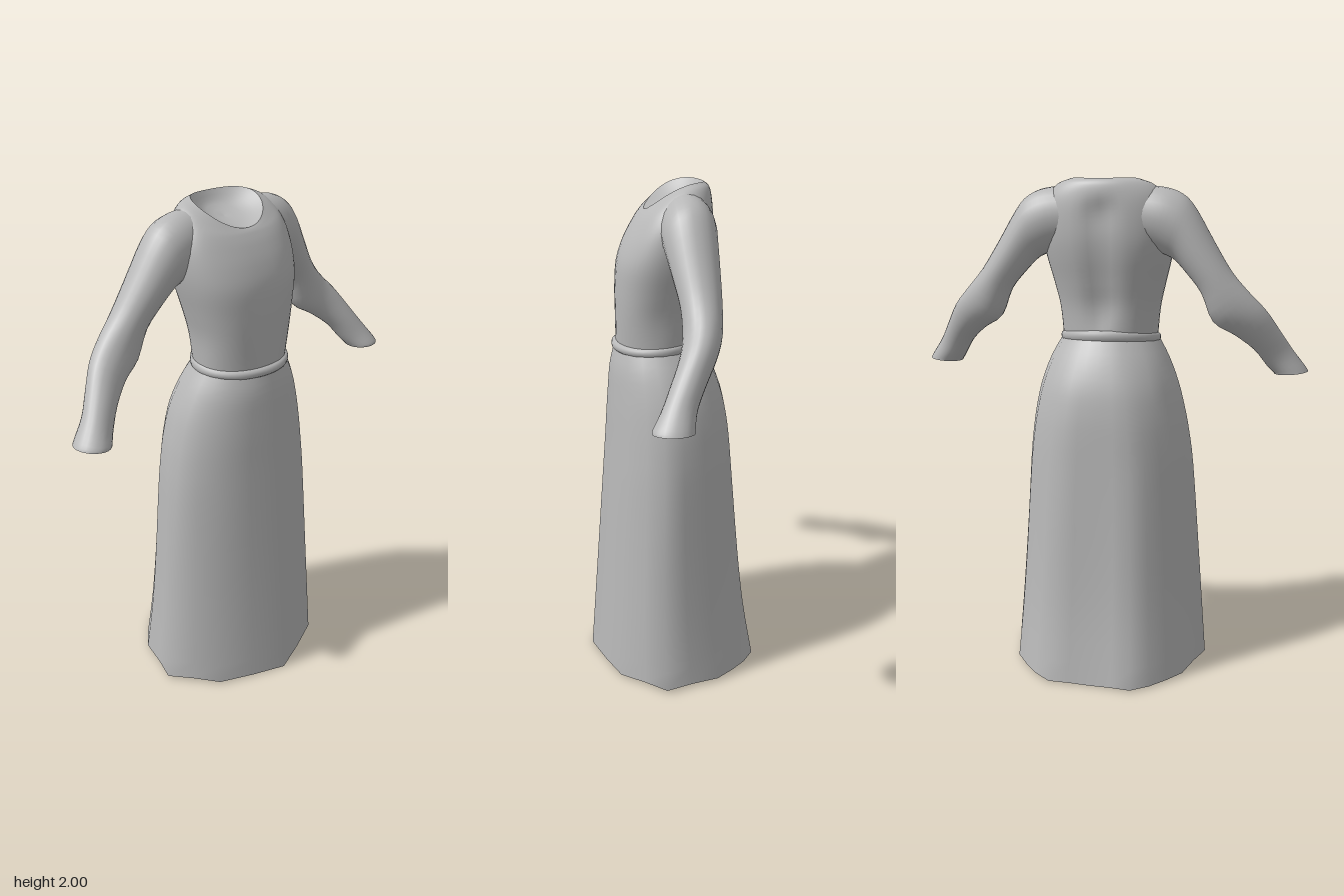
import * as THREE from 'three';

const cloth = new THREE.MeshStandardMaterial({ color: 0xb8b8b8, side: THREE.DoubleSide });
cloth.name = 'grey cloth';

const V = (x, y, z) => new THREE.Vector3(x, y, z);

// Skin a stack of closed rings, smoothing each column with a spline
function loft(name, rings, steps) {
  const cols = rings[0].length, rows = (rings.length - 1) * steps + 1;
  const pos = new Float32Array(rows * cols * 3), index = [];
  for (let j = 0; j < cols; j++) {
    const curve = new THREE.CatmullRomCurve3(rings.map(r => r[j]), false, 'catmullrom', 0.5);
    for (let i = 0; i < rows; i++) curve.getPoint(i / (rows - 1)).toArray(pos, (i * cols + j) * 3);
  }
  for (let i = 0; i < rows - 1; i++) {
    for (let j = 0; j < cols; j++) {
      const k = (j + 1) % cols;
      const a = i * cols + j, b = i * cols + k, c = a + cols, d = b + cols;
      index.push(a, c, b, b, c, d);
    }
  }
  const geo = new THREE.BufferGeometry();
  geo.setAttribute('position', new THREE.BufferAttribute(pos, 3));
  geo.setIndex(index);
  geo.computeVertexNormals();
  const mesh = new THREE.Mesh(geo, cloth);
  mesh.name = name;
  return mesh;
}

const circle = (n, f) => Array.from({ length: n }, (_, j) => {
  const t = j / n * Math.PI * 2;
  return f(Math.cos(t), Math.sin(t));
});
const pow = (v, e) => Math.sign(v) * Math.abs(v) ** e;

// Body section: half width, front z, back z, and heights at front, side, back
function bodyRing([w, zf, zb, yf, ys = yf, yb = ys], e = 1, groove = 0) {
  return circle(48, (c, s) => {
    const x = w * pow(c, e);
    let z = (zf + zb) / 2 + (zf - zb) / 2 * pow(s, e);
    if (s < 0) z += groove * Math.exp(-((x / 0.05) ** 2));
    return V(x, ys + (yf - yb) / 2 * s + ((yf + yb) / 2 - ys) * s * s, z);
  });
}

function bodice() {
  const rows = [
    [0.193, 0.215, -0.113, 1.37],
    [0.203, 0.215, -0.112, 1.5],
    [0.225, 0.215, -0.13, 1.6],
    [0.25, 0.207, -0.152, 1.7],
    [0.262, 0.18, -0.162, 1.78],
    [0.26, 0.145, -0.162, 1.845, 1.86, 1.87],
    [0.235, 0.12, -0.157, 1.88, 1.925, 1.935],
    [0.2, 0.108, -0.15, 1.893, 1.968, 1.982],
    [0.15, 0.098, -0.13, 1.9, 1.985, 2.0],
  ];
  return loft('bodice', rows.map((r, i) => bodyRing(r, i > 0 && i < 7 ? 0.85 : 1, i > 0 && i < 6 ? 0.02 : 0)), 4);
}

// Shallow sloping dish that closes the neckline
function neckline() {
  const rows = [
    [0.15, 0.098, -0.13, 1.9, 1.985, 2.0],
    [0.115, 0.07, -0.118, 1.899, 1.955, 1.98],
    [0.07, 0.03, -0.095, 1.905, 1.93, 1.95],
    [0.001, -0.03, -0.032, 1.92],
  ];
  return loft('neckline', rows.map(r => bodyRing(r)), 2);
}

function waistband() {
  const rows = [
    [0.192, 0.215, -0.112, 1.355, 1.36, 1.375],
    [0.204, 0.23, -0.123, 1.365, 1.37, 1.385],
    [0.204, 0.23, -0.123, 1.385, 1.39, 1.41],
    [0.192, 0.213, -0.11, 1.395, 1.4, 1.42],
  ];
  return loft('waistband', rows.map(r => bodyRing(r)), 2);
}

// Folded hem outline, back to front on the left side
const hem = [
  [0, -0.335], [0.09, -0.338], [0.17, -0.345], [0.24, -0.298], [0.3, -0.235], [0.355, -0.165],
  [0.385, -0.05], [0.42, 0.055], [0.35, 0.14], [0.28, 0.235], [0.14, 0.295], [0, 0.345],
];

function skirt() {
  const outline = [...hem, ...hem.slice(1, -1).reverse().map(([x, z]) => [-x, z])];
  // Height, half width, front z, back z, fold strength
  const rows = [
    [0, 0.42, 0.345, -0.343, 1],
    [0.25, 0.4, 0.325, -0.3, 1],
    [0.5, 0.38, 0.305, -0.272, 0.95],
    [0.85, 0.352, 0.277, -0.245, 0.75],
    [1.0, 0.332, 0.265, -0.235, 0.6],
    [1.1, 0.312, 0.258, -0.225, 0.45],
    [1.2, 0.285, 0.25, -0.205, 0.3],
    [1.3, 0.244, 0.24, -0.165, 0.1],
    [1.39, 0.193, 0.218, -0.113, 0],
  ];
  return loft('skirt', rows.map(([y, w, zf, zb, fold]) => outline.map(([x, z]) => {
    const t = Math.atan2(z / 0.345, x / 0.42);
    const round = V(w * Math.cos(t), y, (zf + zb) / 2 + (zf - zb) / 2 * Math.sin(t));
    const folded = V(x / 0.42 * w, y, zb + (z + 0.345) / 0.69 * (zf - zb));
    const p = round.lerp(folded, fold);
    if (y === 0) p.y = 0.014 * Math.abs(Math.cos(t));
    return p;
  })), 3);
}

// Sleeve sections: outer x, y, inner x, y, centre z, half depth
const sleeveRows = [
  [0.14, 1.975, 0.12, 1.75, -0.045, 0.09],
  [0.235, 1.968, 0.19, 1.735, -0.043, 0.1],
  [0.305, 1.942, 0.235, 1.715, -0.043, 0.1],
  [0.355, 1.89, 0.275, 1.695, -0.045, 0.095],
  [0.43, 1.765, 0.325, 1.645, -0.054, 0.085],
  [0.5, 1.655, 0.385, 1.57, -0.062, 0.074],
  [0.57, 1.575, 0.43, 1.463, -0.058, 0.07],
  [0.635, 1.505, 0.51, 1.412, -0.032, 0.066],
  [0.69, 1.42, 0.585, 1.352, 0.01, 0.062],
  [0.735, 1.35, 0.635, 1.285, 0.045, 0.062],
  [0.785, 1.283, 0.66, 1.256, 0.067, 0.072],
  [0.798, 1.262, 0.665, 1.249, 0.07, 0.073],
];

function sleeve(name, side) {
  return loft(name, sleeveRows.map(([ox, oy, ix, iy, z, b]) => circle(24, (c, s) => V(
    side * ((ox + ix) / 2 + (ox - ix) / 2 * c),
    (oy + iy) / 2 + (oy - iy) / 2 * c,
    z - side * b * s,
  ))), 3);
}

export function createModel() {
  const dress = new THREE.Group();
  dress.name = 'dress';
  dress.add(skirt(), waistband(), bodice(), neckline(), sleeve('leftSleeve', 1), sleeve('rightSleeve', -1));
  return dress;
}
